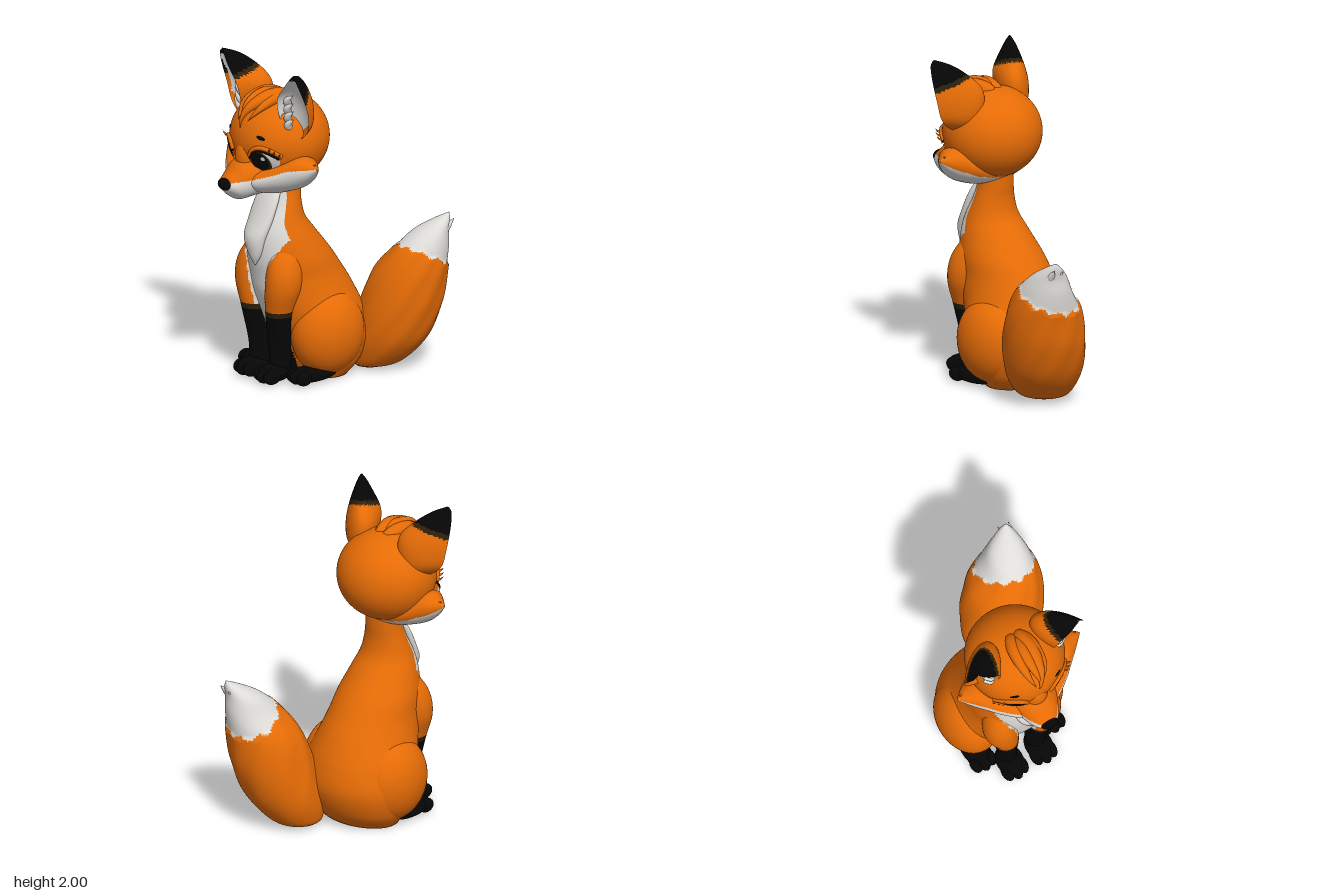
import * as THREE from 'three';

const mat = (name, color) => {
  const m = new THREE.MeshStandardMaterial({ color });
  m.name = name;
  return m;
};

export function createModel() {
  const orange = mat('orange fur', 0xe66c06), white = mat('white fur', 0xdedcd8);
  const black = mat('black fur', 0x060606), brown = mat('dark brown', 0x2e2008);
  const palette = [orange, white, black, brown];
  const fox = new THREE.Group();
  fox.name = 'fox';
  fox.position.x = -0.08;

  const add = (name, geo, material, parent = fox) => {
    const m = new THREE.Mesh(geo, material);
    m.name = name;
    parent.add(m);
    return m;
  };

  // Sort triangles into colour groups; rule(x, y, z) gives a palette index
  const paint = (name, geo, rule, parent = fox) => {
    const p = geo.attributes.position, idx = geo.index.array, lists = palette.map(() => []);
    const mid = (t, k) => (p.getComponent(idx[t], k) + p.getComponent(idx[t + 1], k) + p.getComponent(idx[t + 2], k)) / 3;
    for (let t = 0; t < idx.length; t += 3) {
      lists[rule(mid(t, 0), mid(t, 1), mid(t, 2))].push(idx[t], idx[t + 1], idx[t + 2]);
    }
    geo.clearGroups();
    let start = 0;
    lists.forEach((l, i) => { if (l.length) geo.addGroup(start, l.length, i); start += l.length; });
    geo.setIndex(lists.flat());
    return add(name, geo, palette, parent);
  };

  // Skin over a list of rings of points
  const skin = (rings, wrap = true) => {
    const n = rings[0].length, idx = [], pos = [];
    rings.forEach(r => r.forEach(q => pos.push(q[0], q[1], q[2])));
    for (let i = 0; i < rings.length - 1; i++) for (let j = 0; j < (wrap ? n : n - 1); j++) {
      const a = i * n + j, b = i * n + (j + 1) % n, c = a + n, d = b + n;
      idx.push(a, c, b, b, c, d);
    }
    const g = new THREE.BufferGeometry();
    g.setAttribute('position', new THREE.Float32BufferAttribute(pos, 3));
    g.setIndex(idx);
    g.computeVertexNormals();
    return g;
  };

  // Smooth rows through stations given as five or six numbers each
  const smooth = (st, rows) => {
    const A = new THREE.CatmullRomCurve3(st.map(s => new THREE.Vector3(s[0], s[1], s[2])), false, 'catmullrom');
    const B = new THREE.CatmullRomCurve3(st.map(s => new THREE.Vector3(s[3], s[4], s[5] || 0)), false, 'catmullrom');
    return Array.from({ length: rows + 1 }, (_, i) => {
      const a = A.getPoint(i / rows), b = B.getPoint(i / rows);
      return [a.x, a.y, a.z, b.x, b.y, b.z];
    });
  };

  // Elliptical loft along an axis; station: [along, centreU, centreV, radiusU, radiusV]
  const place = { y: (w, u, v) => [u, w, v], x: (w, u, v) => [w, v, u], z: (w, u, v) => [v, u, w] };
  const loft = (axis, st, rows = 40, seg = 48, mod = () => 1) => {
    const all = smooth(st, rows);
    const ends = [all[0], all[rows]].map(s => [s[0], s[1], s[2], 0, 0]);
    return skin([ends[0], ...all, ends[1]].map(([w, cu, cv, ru, rv]) => Array.from({ length: seg }, (_, j) => {
      const a = j / seg * Math.PI * 2, k = mod(a, w, cv + rv * Math.sin(a));
      return place[axis](w, cu + Math.max(0, ru) * k * Math.cos(a), cv + Math.max(0, rv) * k * Math.sin(a));
    })));
  };

  // Pointed lock of fur along a curve
  const lock = (name, pts, r, material, parent = fox) => {
    const c = new THREE.CatmullRomCurve3(pts.map(q => new THREE.Vector3(...q))), n = 16, seg = 10;
    const f = c.computeFrenetFrames(n);
    add(name, skin(Array.from({ length: n + 1 }, (_, i) => {
      const q = c.getPointAt(i / n), rad = r * Math.sin(Math.PI * Math.sqrt(i / n));
      return Array.from({ length: seg }, (_, j) => {
        const a = j / seg * Math.PI * 2;
        return q.clone().addScaledVector(f.binormals[i], rad * Math.cos(a)).addScaledVector(f.normals[i], rad * Math.sin(a)).toArray();
      });
    })), material, parent);
  };

  const ball = (x, y, z, rx, ry, rz, w = 28, h = 20) =>
    new THREE.SphereGeometry(1, w, h).scale(rx, ry, rz).translate(x, y, z);

  const table = (t, x) => {
    for (let i = 1; i < t.length; i++) if (x <= t[i][0]) {
      const k = Math.max(0, (x - t[i - 1][0]) / (t[i][0] - t[i - 1][0]));
      return t[i - 1][1] + k * (t[i][1] - t[i - 1][1]);
    }
    return t[t.length - 1][1];
  };

  // Body with the white bib and belly stripe, black between the feet
  const bib = [[0.04, 0], [0.2, 0.04], [0.3, 0.05], [0.5, 0.06], [0.6, 0.08], [0.72, 0.1], [0.8, 0.14], [0.9, 0.185], [1, 0.145], [1.2, 0.1]];
  const bibRule = (x, y, z) => (z > 0.2 && Math.abs(x) < table(bib, y) ? 1 : 0);
  const bodyRule = (x, y, z) => bibRule(x, y, z) || (z > 0.12 && y < 0.36 && Math.abs(x) < 0.13 ? 2 : 0);
  paint('body', loft('y', [
    [0, 0, 0.015, 0.27, 0.185], [0.1, 0, -0.005, 0.33, 0.255], [0.25, 0, -0.005, 0.36, 0.305], [0.4, 0, 0.037, 0.335, 0.322],
    [0.545, 0, 0.095, 0.285, 0.315], [0.65, 0, 0.137, 0.257, 0.292], [0.767, 0, 0.185, 0.24, 0.26], [0.9, 0, 0.235, 0.2, 0.205],
    [1, 0, 0.257, 0.165, 0.153], [1.1, 0, 0.245, 0.138, 0.115], [1.2, 0, 0.23, 0.12, 0.1], [1.32, 0, 0.23, 0.12, 0.1],
  ], 90, 130), bodyRule);
  add('chestTuft', loft('y', [
    [0.73, 0.02, 0.455, 0.004, 0.004], [0.8, 0.012, 0.45, 0.05, 0.035], [0.9, 0, 0.44, 0.085, 0.055],
    [1, 0, 0.4, 0.1, 0.05], [1.12, 0, 0.35, 0.1, 0.04], [1.2, 0, 0.31, 0.08, 0.03],
  ], 30, 32), white);

  // Legs and paws
  for (const s of [1, -1]) {
    const side = s > 0 ? 'left' : 'right';
    paint(side + 'FrontLeg', loft('y', [
      [0.03, s * 0.1, 0.33, 0.062, 0.064], [0.2, s * 0.1, 0.33, 0.062, 0.068], [0.42, s * 0.12, 0.35, 0.08, 0.084],
      [0.6, s * 0.148, 0.34, 0.106, 0.113], [0.75, s * 0.142, 0.32, 0.092, 0.108], [0.9, s * 0.1, 0.28, 0.04, 0.06],
    ], 60, 48), (x, y, z) => (y < 0.42 ? 2 : y < 0.45 ? 3 : bibRule(x, y, z)));
    add(side + 'Thigh', ball(s * 0.22, 0.285, 0.06, 0.185, 0.265, 0.24, 48, 32), orange);
    add(side + 'FrontPaw', ball(s * 0.1, 0.057, 0.37, 0.083, 0.056, 0.11), black);
    add(side + 'HindPaw', ball(s * 0.24, 0.052, 0.18, 0.085, 0.051, 0.17), black);
    for (const k of [-1, 0, 1]) {
      add(side + 'FrontToe', ball(s * 0.1 + k * 0.05, 0.047, 0.44 - Math.abs(k) * 0.015, 0.036, 0.046, 0.06, 16, 12), black);
      add(side + 'HindToe', ball(s * 0.24 + k * 0.048, 0.045, 0.3 - Math.abs(k) * 0.012, 0.036, 0.044, 0.055, 16, 12), black);
    }
  }

  // Tail with furrowed fur, a zigzag edge and a white tip
  const edge = (a, z) => 0.785 + (z + 0.34) * 0.49 + 0.024 * Math.abs(((a / Math.PI * 10) % 2 + 2) % 2 - 1);
  paint('tail', loft('y', [
    [0.004, 0.18, -0.3, 0.09, 0.1], [0.05, 0.21, -0.33, 0.165, 0.17], [0.2, 0.265, -0.38, 0.235, 0.23], [0.4, 0.312, -0.425, 0.25, 0.25],
    [0.6, 0.352, -0.463, 0.228, 0.225], [0.75, 0.402, -0.51, 0.162, 0.18], [0.85, 0.425, -0.56, 0.115, 0.118],
    [0.92, 0.455, -0.62, 0.055, 0.055], [0.962, 0.475, -0.66, 0.004, 0.004],
  ], 90, 110, (a, y, z) => (y > edge(a, z) ? 0.95 : 1 + 0.012 * Math.sin(a * 9 + y * 16) * Math.min(1, y * 3))),
  (x, y, z) => (y > edge(Math.atan2(z + 0.51, x - 0.4), z) ? 1 : 0));
  lock('tailTipTuft', [[0.45, 0.82, -0.58], [0.49, 0.88, -0.635], [0.505, 0.93, -0.68]], 0.035, white);
  lock('tailTipTuft', [[0.43, 0.82, -0.59], [0.44, 0.88, -0.65], [0.435, 0.91, -0.69]], 0.03, white);

  // Head: skull, cheeks and muzzle share one face marking
  const lip = [[0, 1.285], [0.1, 1.305], [0.2, 1.34], [0.3, 1.385], [0.42, 1.405]];
  const faceRule = (x, y, z) => (y < Math.min(table(lip, Math.abs(x)), z < 0.3 ? 1.4 - (0.3 - z) * 0.82 : 2) ? 1 : 0);
  paint('skull', ball(0, 1.51, 0.255, 0.305, 0.28, 0.3, 88, 60), faceRule);
  const cheek = [
    [0.427, 0.3, 1.402, 0.003, 0.004], [0.4, 0.3, 1.392, 0.03, 0.03], [0.36, 0.302, 1.378, 0.068, 0.062],
    [0.3, 0.31, 1.362, 0.115, 0.096], [0.22, 0.325, 1.325, 0.17, 0.097], [0.12, 0.345, 1.293, 0.215, 0.095],
  ];
  paint('cheeks', loft('x', [...cheek.map(c => [-c[0], ...c.slice(1)]), [0, 0.345, 1.295, 0.24, 0.09], ...[...cheek].reverse()], 90, 64), faceRule);
  paint('muzzle', loft('z', [
    [0.3, 1.33, 0, 0.12, 0.16], [0.42, 1.317, 0, 0.13, 0.165], [0.5, 1.308, 0, 0.13, 0.145], [0.575, 1.285, 0, 0.115, 0.115], [0.62, 1.271, 0, 0.083, 0.093],
    [0.66, 1.27, 0, 0.048, 0.066], [0.685, 1.272, 0, 0.015, 0.025],
  ], 48, 64), faceRule);
  add('noseBridge', ball(0, 1.42, 0.5, 0.075, 0.12, 0.073), orange);
  add('nose', ball(0, 1.278, 0.667, 0.055, 0.037, 0.036), black);

  // Eyes and brows follow the skull surface
  const headZ = (x, y) => 0.255 + 0.3 * Math.sqrt(Math.max(0, 1 - (x / 0.305) ** 2 - ((y - 1.51) / 0.28) ** 2));
  const patch = (name, x, y, rx, ry, lift, material, tilt = 0) => {
    const g = new THREE.RingGeometry(0, 1, 36, 5).scale(rx, ry, 1).rotateZ(tilt).translate(x, y, 0), p = g.attributes.position;
    for (let i = 0; i < p.count; i++) p.setZ(i, headZ(p.getX(i), p.getY(i)) + lift);
    g.computeVertexNormals();
    add(name, g, material);
  };
  const arc = (name, pts, r, lift, material) => add(name, new THREE.TubeGeometry(
    new THREE.CatmullRomCurve3(pts.map(q => new THREE.Vector3(q[0], q[1], headZ(q[0], q[1]) + lift))), 20, r, 8), material);
  for (const s of [1, -1]) {
    patch('eyeWhite', s * 0.163, 1.432, 0.076, 0.053, 0.01, white, s * 0.1);
    patch('iris', s * 0.147, 1.425, 0.055, 0.066, 0.014, brown);
    patch('pupil', s * 0.147, 1.43, 0.046, 0.056, 0.017, black);
    patch('eyeGlint', s * 0.172, 1.45, 0.011, 0.013, 0.02, white);
    patch('brow', s * 0.15, 1.577, 0.027, 0.011, 0.008, black, -s * 0.3);
    arc('lashLine', [[s * 0.085, 1.44], [s * 0.11, 1.48], [s * 0.15, 1.497], [s * 0.2, 1.485], [s * 0.24, 1.45]], 0.007, 0.012, black);
    arc('eyelid', [[s * 0.08, 1.455], [s * 0.105, 1.497], [s * 0.15, 1.515], [s * 0.205, 1.502], [s * 0.25, 1.465]], 0.014, 0.006, orange);
    for (const k of [0, 1, 2]) {
      const x = 0.2 + k * 0.02, y = 1.5 - k * 0.015, z = headZ(x, y);
      lock('eyelash', [[s * x, y, z], [s * (x + 0.018), y + 0.01, z + 0.02], [s * (x + 0.035), y + 0.03, z + 0.025]], 0.007, orange);
    }
    lock('cheekTuft', [[s * 0.32, 1.42, 0.31], [s * 0.37, 1.415, 0.3], [s * 0.41, 1.43, 0.29]], 0.022, orange);
  }

  // Forelock: overlapping thick locks swept forward to one point
  lock('forelock', [[0.03, 1.76, 0.2], [0.05, 1.785, 0.36], [0.035, 1.745, 0.5], [0.012, 1.68, 0.55], [0, 1.605, 0.555]], 0.05, orange);
  lock('forelock', [[-0.01, 1.76, 0.2], [-0.045, 1.785, 0.36], [-0.045, 1.745, 0.49], [-0.02, 1.65, 0.555]], 0.045, orange);
  lock('forelock', [[0.05, 1.75, 0.22], [0.075, 1.775, 0.36], [0.08, 1.73, 0.47], [0.045, 1.66, 0.53]], 0.042, orange);
  lock('forelock', [[0.01, 1.77, 0.24], [0, 1.795, 0.38], [0.005, 1.75, 0.51], [0.015, 1.66, 0.56]], 0.042, orange);

  // Ears: rounded back shell and hollow front; row: [y, outerX, outerZ, innerX, innerZ, depth]
  const earRows = smooth([
    [1.55, 0.26, 0.32, 0.22, 0.33, 0.06], [1.6, 0.34, 0.325, 0.215, 0.36, 0.16], [1.66, 0.385, 0.33, 0.2, 0.39, 0.21], [1.75, 0.4, 0.345, 0.19, 0.415, 0.24],
    [1.83, 0.4, 0.37, 0.21, 0.43, 0.24], [1.91, 0.39, 0.4, 0.275, 0.435, 0.19], [1.97, 0.375, 0.42, 0.322, 0.43, 0.11], [2, 0.352, 0.42, 0.347, 0.42, 0.01],
  ], 46);
  const earShell = (from, to, depth) => skin(earRows.map(([y, ox, oz, ix, iz, d]) => Array.from({ length: 33 }, (_, j) => {
    const a = from + (to - from) * j / 32, c = Math.cos(a) / 2, b = d * depth * Math.max(0, Math.sin(a)) ** 0.8;
    return [(ox + ix) / 2 + (ox - ix) * c - b * 0.55, y, (oz + iz) / 2 + (oz - iz) * c - b * 0.83];
  })), false);
  const earRule = (x, y, z) => {
    const h = y - 2.065 + 0.35 * z + 0.25 * x;
    return h > 0 ? 2 : h > -0.03 ? 3 : 0;
  };
  const earInsideRule = (x, y, z) => (x < 0.386 && y < 1.955 && y > 1.59 + (x - 0.24) * 0.75 ? 1 : earRule(x, y, z));
  for (const s of [1, -1]) {
    const ear = new THREE.Group();
    ear.name = s > 0 ? 'leftEar' : 'rightEar';
    ear.scale.x = s;
    fox.add(ear);
    paint('earBack', earShell(Math.PI, 0, 1), earRule, ear);
    paint('earInside', earShell(0, Math.PI, 0.35), earInsideRule, ear);
    for (const k of [0, 1, 2, 3]) {
      const y = 1.62 + k * 0.05, x = 0.222 - k * 0.003;
      lock('earFluff', [[x, y, 0.35], [x + 0.02, y + 0.04, 0.375], [x + 0.075, y + 0.085, 0.37]], 0.026, white, ear);
    }
  }

  const model = new THREE.Group();
  model.name = 'sittingFox';
  model.add(fox);
  return model;
}
